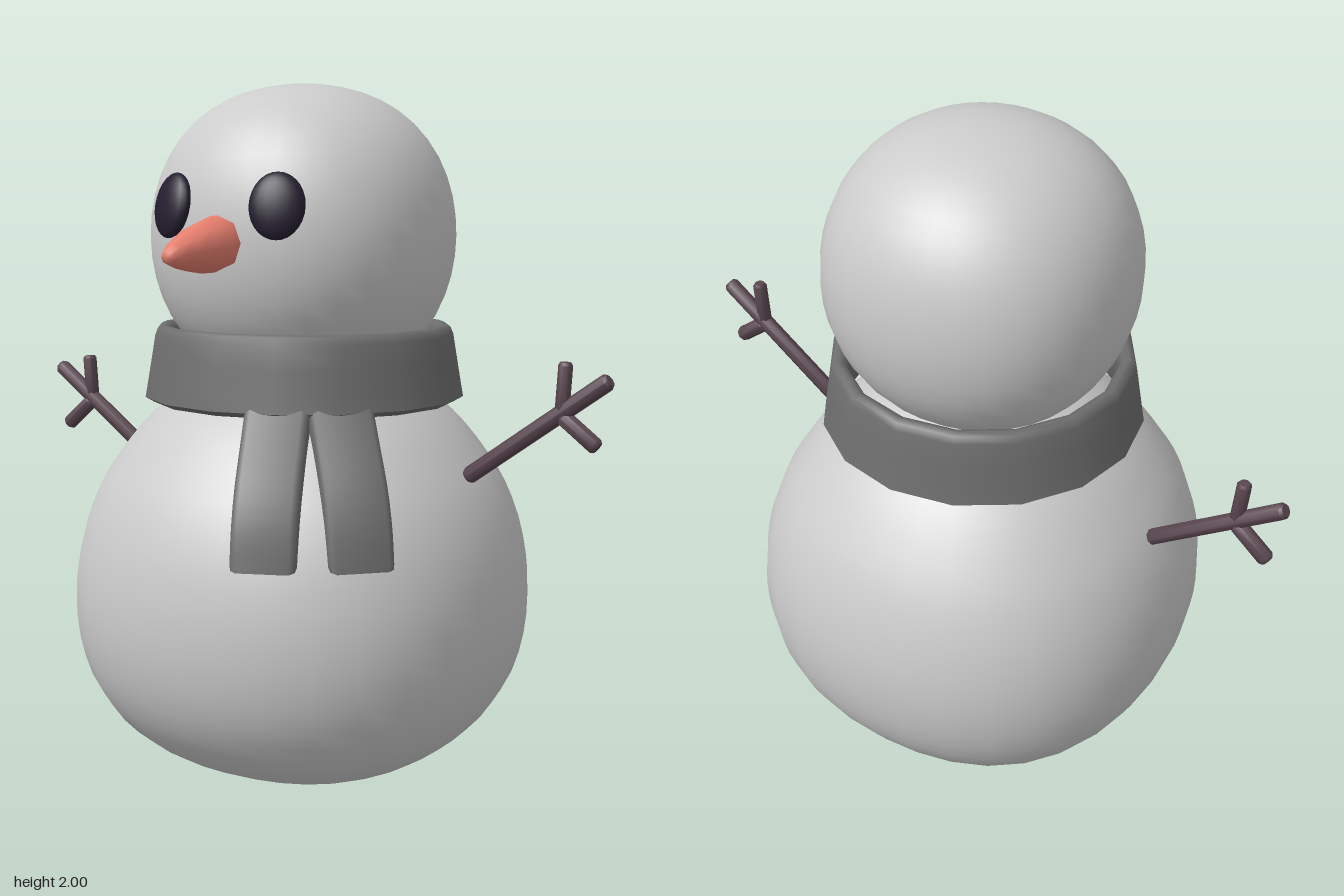
import * as THREE from 'three';
import { toCreasedNormals } from 'three/addons/utils/BufferGeometryUtils.js';

const mat = (color) => new THREE.MeshStandardMaterial({ color });
const vecs = (pts) => pts.map(([x, y]) => new THREE.Vector2(x, y));

// Swells a round geometry along its diagonals, like a softly inflated cube
function swell(geometry, amount, useHeight) {
  const pos = geometry.attributes.position;
  const n = new THREE.Vector3();
  for (let i = 0; i < pos.count; i++) {
    n.fromBufferAttribute(pos, i);
    if (!useHeight) n.y = 0;
    n.normalize();
    const [a, b, c] = [n.x * n.x, n.y * n.y, n.z * n.z];
    const k = 1 + amount * 4 * (a * b + b * c + c * a);
    pos.setXYZ(i, pos.getX(i) * k, pos.getY(i) * (useHeight ? k : 1), pos.getZ(i) * k);
  }
  return toCreasedNormals(geometry, Math.PI / 2);
}

export function createModel() {
  const model = new THREE.Group();
  const snow = mat(0xcccccc);
  const cloth = mat(0x6e6e6e);
  const coal = mat(0x241e30);
  const carrot = mat(0xe88070);
  const wood = mat(0x5a4650);

  const add = (name, geometry, material, parent = model) => {
    const mesh = new THREE.Mesh(geometry, material);
    mesh.name = name;
    parent.add(mesh);
    return mesh;
  };

  // Pear-shaped body, flattened at the base
  const bodyProfile = new THREE.SplineCurve(vecs([
    [0, 0], [0.12, 0.004], [0.23, 0.018], [0.36, 0.055], [0.46, 0.11], [0.545, 0.19], [0.61, 0.3],
    [0.642, 0.42], [0.65, 0.53], [0.643, 0.63], [0.62, 0.74], [0.578, 0.85], [0.527, 0.935],
    [0.46, 1.025], [0.385, 1.1], [0.29, 1.17], [0.16, 1.23], [0, 1.25],
  ])).getPoints(34);
  bodyProfile.forEach((p) => { p.x = Math.max(p.x, 0); });
  add('body', swell(new THREE.LatheGeometry(bodyProfile, 32), 0.04, false), snow);

  // Head
  add('head', swell(new THREE.SphereGeometry(0.428, 32, 24), 0.037, true), snow).position.y = 1.572;

  // Scarf collar: a closed, slightly flared band
  const collarProfile = vecs([
    [0.4, 1.125], [0.415, 1.104], [0.44, 1.1], [0.466, 1.115], [0.458, 1.16], [0.446, 1.23], [0.435, 1.295],
    [0.427, 1.315], [0.412, 1.321], [0.395, 1.315], [0.385, 1.295], [0.39, 1.21], [0.4, 1.125],
  ]);
  add('scarfCollar', toCreasedNormals(new THREE.LatheGeometry(collarProfile, 16), 1.2), cloth);

  // Scarf tails: curved strips lying over the body
  const width = 0.175, bevel = 0.018;
  const drape = new THREE.SplineCurve(vecs([
    [0.41, 1.15], [0.492, 1.04], [0.567, 0.94], [0.615, 0.84], [0.636, 0.747],
  ])).getPoints(10);
  const inner = drape.map((p) => new THREE.Vector2(p.x - 0.04, p.y - 0.006)).reverse();
  const tailGeometry = new THREE.ExtrudeGeometry(new THREE.Shape([...drape, ...inner]), {
    depth: width - 2 * bevel, bevelEnabled: true, bevelSize: bevel, bevelThickness: bevel, bevelSegments: 2,
  });
  tailGeometry.translate(0, 0, -width / 2 + bevel);
  tailGeometry.rotateY(-Math.PI / 2);
  const tailSmooth = toCreasedNormals(tailGeometry, 0.9);
  [['scarfTailFront', 23], ['scarfTailSide', 46]].forEach(([name, degrees]) => {
    add(name, tailSmooth, cloth).rotation.y = THREE.MathUtils.degToRad(degrees);
  });

  // Eyes: flattened ovals facing out from the head centre
  for (const side of [-1, 1]) {
    const eye = add(side > 0 ? 'leftEye' : 'rightEye', new THREE.SphereGeometry(1, 20, 14), coal);
    eye.scale.set(0.076, 0.09, 0.033);
    eye.position.set(side * 0.17, 1.66, 0.397);
    eye.rotation.set(-0.2, side * 0.38, 0, 'YXZ');
  }

  // Carrot nose, drooping slightly
  const noseProfile = vecs([
    [0, 0], [0.07, 0], [0.075, 0.05], [0.067, 0.11], [0.05, 0.17], [0.033, 0.22], [0.017, 0.25], [0, 0.257],
  ]);
  const nose = add('nose', toCreasedNormals(new THREE.LatheGeometry(noseProfile, 8), 0.9), carrot);
  nose.position.set(0, 1.566, 0.4);
  nose.rotation.x = Math.PI / 2 + 0.14;

  // Stick arms, each with two twigs
  const stick = (name, from, to, r, parent) => {
    const a = new THREE.Vector3(...from, 0), b = new THREE.Vector3(...to, 0);
    const dir = b.clone().sub(a), length = dir.length();
    const profile = vecs([
      [0, 0], [r * 0.75, 0], [r, r * 0.4], [r, length - r * 0.4], [r * 0.75, length], [0, length],
    ]);
    const mesh = add(name, toCreasedNormals(new THREE.LatheGeometry(profile, 8), 0.9), wood, parent);
    mesh.position.copy(a);
    mesh.quaternion.setFromUnitVectors(new THREE.Vector3(0, 1, 0), dir.normalize());
  };
  const arms = [
    ['leftArm', [0.535, 0.917], [0.942, 1.213], [0.81, 1.11], [0.818, 1.253], [0.913, 1.032]],
    ['rightArm', [-0.56, 0.865], [-0.942, 1.138], [-0.81, 1.035], [-0.82, 1.177], [-0.913, 0.948]],
  ];
  for (const [name, root, tip, fork, up, down] of arms) {
    const arm = new THREE.Group();
    arm.name = name;
    model.add(arm);
    stick('branch', root, tip, 0.024, arm);
    stick('upperTwig', fork, up, 0.021, arm);
    stick('lowerTwig', fork, down, 0.024, arm);
  }

  return model;
}
